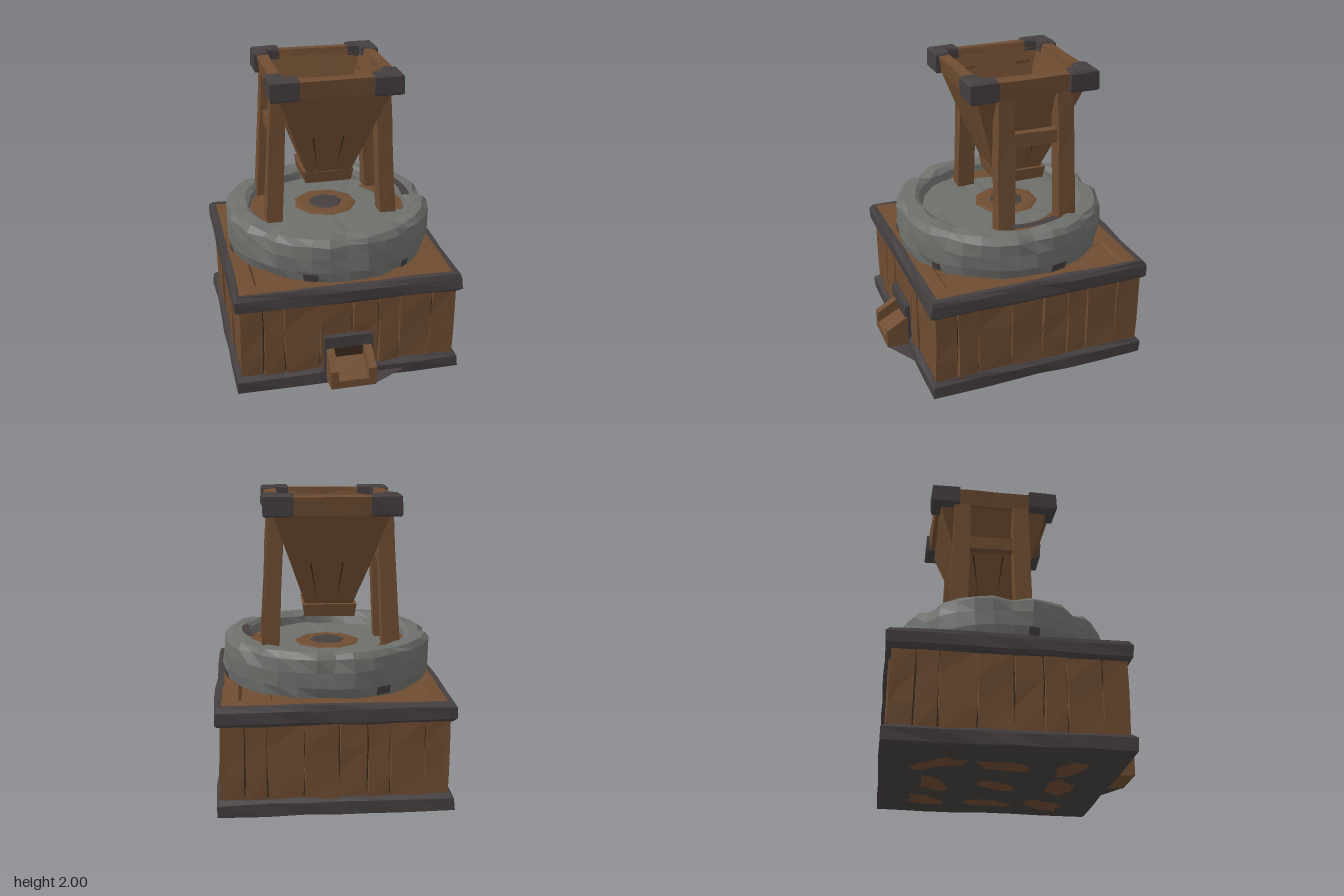
import * as THREE from 'three';

const mat = (name, color, double) => {
  const m = new THREE.MeshStandardMaterial({ color });
  m.name = name;
  if (double) m.side = THREE.DoubleSide;
  return m;
};

// Repeatable noise in -1..1 from a position, so shared corners move together
const noise = (x, y, z, k) => {
  const r = (v) => Math.round(v * 500);
  const s = Math.sin(r(x) * 12.99 + r(y) * 78.23 + r(z) * 37.72 + k * 51.3) * 43758.55;
  return (s - Math.floor(s)) * 2 - 1;
};

// Roughens a geometry and gives it flat facets
function rough(geo, amount) {
  const p = geo.attributes.position;
  for (let i = 0; i < p.count; i++) {
    const x = p.getX(i), y = p.getY(i), z = p.getZ(i);
    p.setXYZ(i, x + noise(x, y, z, 1) * amount, y + noise(x, y, z, 2) * amount * 0.7, z + noise(x, y, z, 3) * amount);
  }
  const flat = geo.index ? geo.toNonIndexed() : geo;
  flat.computeVertexNormals();
  return flat;
}

// Sweeps a [halfWidth, y] profile round a square
function squareSweep(profile, amount, perSide = 6) {
  const geo = new THREE.LatheGeometry(profile.map(([r, y]) => new THREE.Vector2(r, y)), perSide * 4);
  const p = geo.attributes.position;
  for (let i = 0; i < p.count; i++) {
    const x = p.getX(i), z = p.getZ(i);
    const r = Math.hypot(x, z);
    const s = r > 1e-6 ? r / Math.max(Math.abs(x), Math.abs(z)) : 1;
    p.setX(i, x * s);
    p.setZ(i, z * s);
  }
  return rough(geo, amount);
}

const shapeOf = (pts) => new THREE.Shape(pts.map(([x, y]) => new THREE.Vector2(x, y)));

export function createModel() {
  const wood = mat('wood', 0x6e4c31);
  const woodGap = mat('dark wood gaps', 0x3b2a1c);
  const iron = mat('dark iron', 0x443e3f, true);
  const stone = mat('grey stone', 0x6d6f6b);

  const model = new THREE.Group();
  model.name = 'grainMill';
  const add = (parent, name, geo, material, x = 0, y = 0, z = 0) => {
    const m = new THREE.Mesh(geo, material);
    m.name = name;
    m.position.set(x, y, z);
    parent.add(m);
    return m;
  };
  const group = (name, z) => {
    const g = new THREE.Group();
    g.name = name;
    g.position.z = z;
    model.add(g);
    return g;
  };

  // Square base: core, iron bands, top frame
  const base = group('base', -0.07);
  add(base, 'baseCore', new THREE.BoxGeometry(1.39, 0.6, 1.39), woodGap, 0, 0.36, 0);
  add(base, 'bottomBand', squareSweep([[0, 0.005], [0.72, 0.008], [0.75, 0.02], [0.75, 0.1], [0.725, 0.125], [0.68, 0.125]], 0.008), iron);
  add(base, 'topBand', squareSweep([[0.68, 0.605], [0.73, 0.605], [0.752, 0.63], [0.752, 0.705], [0.735, 0.735], [0.705, 0.735], [0.7, 0.68]], 0.008), iron);
  add(base, 'topFrame', squareSweep([[0.715, 0.69], [0.712, 0.73], [0.6, 0.735], [0.585, 0.705], [0.575, 0.69]], 0.005), wood);
  for (let i = 0; i < 6; i++) {
    add(base, 'topPlank', new THREE.BoxGeometry(0.19, 0.03, 1.17), wood, -0.488 + i * 0.195, 0.696, 0);
  }

  // Wall planks on all four sides
  const seams = [-0.72, -0.57, -0.43, -0.2, 0.02, 0.2, 0.34, 0.56, 0.72];
  for (let side = 0; side < 4; side++) {
    const wall = new THREE.Group();
    wall.name = 'plankWall';
    wall.rotation.y = side * Math.PI / 2;
    base.add(wall);
    for (let i = 0; i < seams.length - 1; i++) {
      const w = seams[i + 1] - seams[i] - 0.008;
      const geo = rough(new THREE.BoxGeometry(w, 0.52, 0.04, 1, 3, 1), 0.006);
      add(wall, 'wallPlank', geo, wood, (seams[i] + seams[i + 1]) / 2, 0.36, 0.697 + 0.004 * ((i + side) % 3));
    }
  }

  // Worn wooden patches on the underside
  for (let i = 0; i < 9; i++) {
    const geo = new THREE.CircleGeometry(0.12, 9);
    const p = geo.attributes.position;
    for (let j = 1; j < p.count - 1; j++) {
      const k = 1 + 0.4 * noise(i, j, 0, 4);
      p.setXY(j, p.getX(j) * k * 1.4, p.getY(j) * k * 0.7);
    }
    p.setXY(p.count - 1, p.getX(1), p.getY(1));
    const patch = add(base, 'undersidePatch', geo, wood, (i % 3 - 1) * 0.42, 0.0, (Math.floor(i / 3) - 1) * 0.4);
    patch.rotation.set(Math.PI / 2, 0, noise(i, 2, 1, 5) * 1.5);
  }

  // Flour spout: two cheeks, a floor and an iron surround
  const spout = group('spout', 0);
  const cheek = shapeOf([[0.64, 0.05], [0.68, 0.05], [0.82, 0.06], [0.82, 0.19], [0.66, 0.285], [0.64, 0.285]]);
  for (const x of [-0.16, 0.093]) {
    const geo = new THREE.ExtrudeGeometry(cheek, { depth: 0.052, bevelEnabled: false });
    geo.rotateY(-Math.PI / 2);
    add(spout, 'spoutCheek', geo, wood, x + 0.052, 0, 0);
  }
  const floorGeo = new THREE.ExtrudeGeometry(shapeOf([[0.64, 0.05], [0.82, 0.06], [0.82, 0.115], [0.64, 0.21]]), { depth: 0.205, bevelEnabled: false });
  floorGeo.rotateY(-Math.PI / 2);
  add(spout, 'spoutFloor', floorGeo, wood, 0.096, 0, 0);
  add(spout, 'spoutHole', new THREE.BoxGeometry(0.2, 0.1, 0.008), woodGap, -0.008, 0.25, 0.657);
  add(spout, 'spoutLintel', rough(new THREE.BoxGeometry(0.33, 0.08, 0.06, 3, 1, 1), 0.005), iron, -0.01, 0.33, 0.66);
  for (const x of [-0.163, 0.148]) {
    add(spout, 'spoutJamb', new THREE.BoxGeometry(0.02, 0.25, 0.04), iron, x, 0.18, 0.655);
  }
  const fin = new THREE.ShapeGeometry(shapeOf([[0.145, 0.68], [0.38, 0.68], [0.145, 0.81]]));
  fin.rotateX(Math.PI / 2);
  add(spout, 'spoutFin', fin, iron, 0, 0.06, 0);

  // Chipped millstone with a raised rim
  const mill = group('millstone', -0.05);
  const ringProfile = [[0.6, 0.735], [0.68, 0.75], [0.7, 0.82], [0.702, 0.92], [0.695, 1.0], [0.665, 1.04], [0.575, 1.045], [0.54, 1.02], [0.525, 0.965], [0.4, 0.965], [0, 0.965]];
  const ringGeo = new THREE.LatheGeometry(ringProfile.map(([r, y]) => new THREE.Vector2(r, y)), 36);
  const rp = ringGeo.attributes.position;
  const chips = [0, 4, 9, 13, 18, 22, 27, 31];
  for (let i = 0; i < rp.count; i++) {
    const column = Math.floor(i / ringProfile.length) % 36, row = i % ringProfile.length;
    if (chips.includes(column) && row >= 3 && row <= 6) {
      const k = row === 3 ? 0.985 : 0.955;
      rp.setXYZ(i, rp.getX(i) * k, rp.getY(i) - (row > 4 ? 0.02 : 0), rp.getZ(i) * k);
    }
  }
  add(mill, 'stoneRing', rough(ringGeo, 0.009), stone);

  // Wooden strips and iron stains on the millstone
  for (const s of [1, -1]) {
    const geo = new THREE.RingGeometry(0.4, 0.53, 10, 1, s > 0 ? -0.35 : Math.PI - 0.75, 1.1);
    geo.rotateX(-Math.PI / 2);
    add(mill, 'innerWoodStrip', geo, wood, 0, 0.978, 0);
  }
  add(mill, 'feedPatch', new THREE.CylinderGeometry(0.2, 0.22, 0.008, 9), wood, 0, 0.978, -0.06);
  add(mill, 'feedHole', new THREE.CylinderGeometry(0.1, 0.12, 0.008, 8), iron, 0, 0.985, -0.06);
  const stain = new THREE.RingGeometry(0.52, 0.575, 7, 1, -0.2, 0.6);
  stain.rotateX(-Math.PI / 2);
  add(mill, 'rimStain', stain, iron, 0, 1.053, 0);
  for (const [a, w] of [[-0.36, 0.14], [0.6, 0.09], [1.8, 0.16], [3.6, 0.14], [4.9, 0.1]]) {
    add(mill, 'lowerStain', new THREE.CylinderGeometry(0.708, 0.696, 0.055, 4, 1, true, a - w / 2, w), iron, 0, 0.785, 0);
  }

  // Hopper funnel with a collar at its mouth
  const hopper = group('hopper', -0.135);
  add(hopper, 'funnel', squareSweep([[0.15, 1.25], [0.16, 1.28], [0.265, 1.57], [0.37, 1.87], [0.37, 1.95], [0.335, 1.96], [0.22, 1.62], [0.095, 1.27], [0, 1.27]], 0.004, 4), wood);
  add(hopper, 'collar', squareSweep([[0, 1.185], [0.16, 1.185], [0.175, 1.268], [0.15, 1.268]], 0.004, 2), wood, 0, 0, -0.015);
  // Thin seams down the funnel faces
  for (let side = 0; side < 4; side++) {
    const face = new THREE.Group();
    face.name = 'funnelSeams';
    face.rotation.y = side * Math.PI / 2;
    hopper.add(face);
    for (const x of [-0.5, 0.3]) {
      const geo = new THREE.BufferGeometry();
      const at = (y, dx) => [x * (0.16 + (y - 1.28) * 0.356) + dx, y, 0.168 + (y - 1.28) * 0.356];
      geo.setAttribute('position', new THREE.Float32BufferAttribute([...at(1.3, 0), ...at(1.55, 0.006), ...at(1.55, -0.006)], 3));
      geo.computeVertexNormals();
      add(face, 'funnelSeam', geo, woodGap);
    }
  }

  // Hopper rim: wooden rails held by iron corners
  add(hopper, 'rimRails', squareSweep([[0.35, 1.865], [0.395, 1.865], [0.41, 1.98], [0.335, 1.985], [0.325, 1.94]], 0.004, 4), wood);
  const corner = shapeOf([[0.25, 0.42], [0.42, 0.42], [0.42, 0.25], [0.335, 0.25], [0.335, 0.335], [0.25, 0.335]].reverse());
  for (let i = 0; i < 4; i++) {
    const geo = new THREE.ExtrudeGeometry(corner, { depth: 0.11, bevelSize: 0.012, bevelThickness: 0.014, bevelSegments: 1 });
    geo.rotateX(-Math.PI / 2);
    const bracket = add(hopper, 'rimCorner', rough(geo, 0.005), iron, 0, 1.874, 0);
    bracket.rotation.y = i * Math.PI / 2;
  }

  // Splayed legs and their cross rails
  const frame = group('legFrame', 0);
  for (const s of [1, -1]) {
    for (const [zTop, zFoot] of [[0.045, 0.06], [-0.355, -0.37]]) {
      const geo = new THREE.BoxGeometry(0.1, 0.92, 0.11, 1, 4, 1);
      const p = geo.attributes.position;
      for (let i = 0; i < p.count; i++) {
        const t = 0.5 - p.getY(i) / 0.92;
        p.setX(i, p.getX(i) * (1 + 0.12 * t) + s * (0.345 + 0.05 * t));
        p.setZ(i, p.getZ(i) * (1 + 0.08 * t) + zTop + (zFoot - zTop) * t);
      }
      add(frame, 'leg', rough(geo, 0.004), wood, 0, 1.41, 0);
    }
    add(frame, 'crossRail', rough(new THREE.BoxGeometry(0.06, 0.09, 0.36, 1, 1, 3), 0.004), wood, s * 0.365, 1.575, -0.155);
  }
  return model;
}
